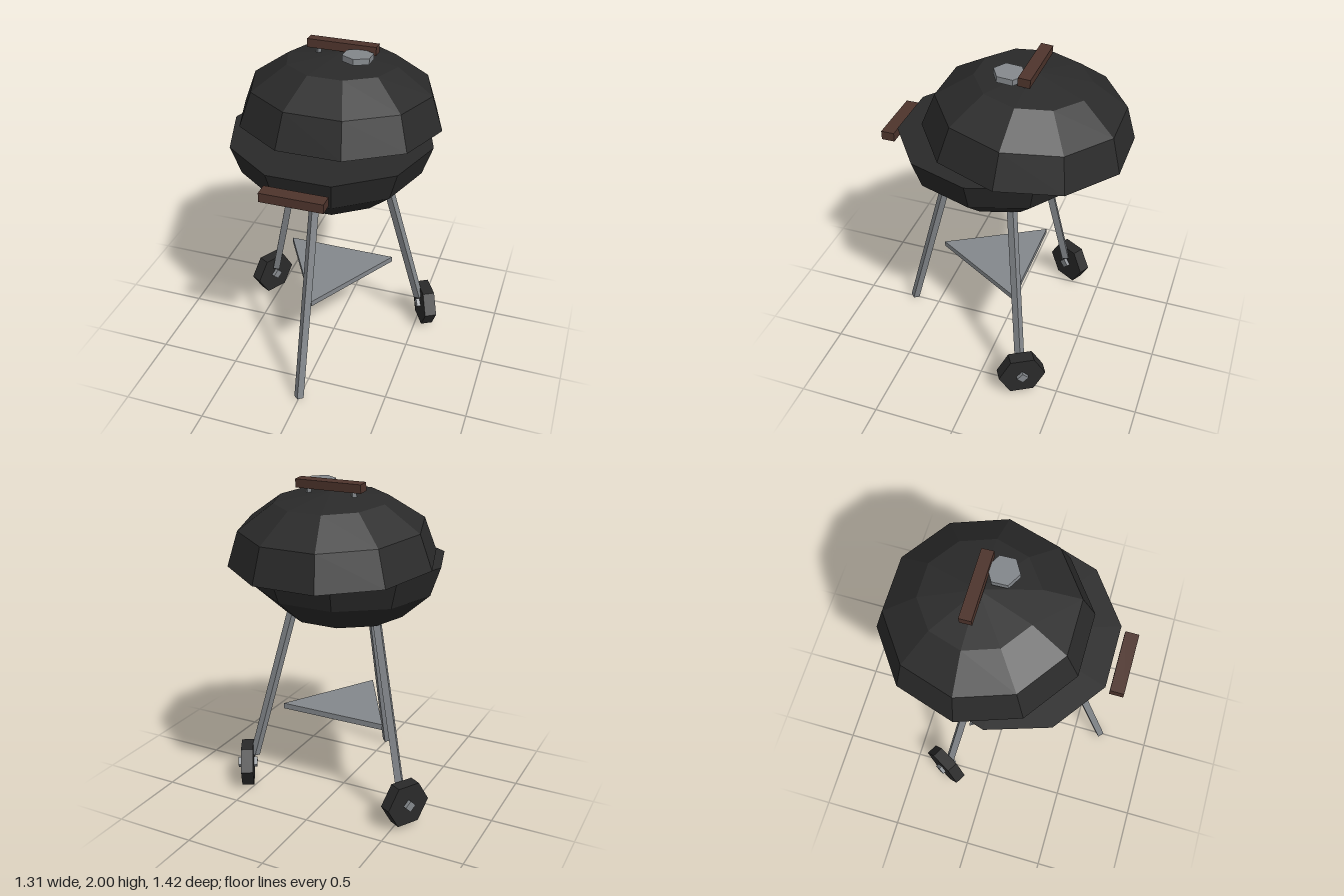
import * as THREE from 'three';

const material = (name, color) => {
  const m = new THREE.MeshStandardMaterial({ color, flatShading: true });
  m.name = name;
  return m;
};

export function createModel() {
  const enamel = material('black enamel', 0x2a2a2a);
  const steel = material('steel', 0x84888c);
  const wood = material('brown wood', 0x4e342c);
  const ash = material('ash brown', 0x66574f);
  const model = new THREE.Group();
  model.name = 'kettleGrill';

  const add = (parent, name, geometry, mat, x = 0, y = 0, z = 0) => {
    const mesh = new THREE.Mesh(geometry, mat);
    mesh.name = name;
    mesh.position.set(x, y, z);
    parent.add(mesh);
    return mesh;
  };
  // Ten-sided shell with a flat side at the front; profile runs bottom to top
  const shell = (profile) => new THREE.LatheGeometry(
    profile.map(([r, y]) => new THREE.Vector2(r, y)), 10, Math.PI / 10);
  const prism = (r, h, sides) => new THREE.CylinderGeometry(r, r, h, sides);

  // Base: bowl, shelf and legs share one vertical axis
  const base = new THREE.Group();
  base.name = 'base';
  base.position.z = 0.035;
  model.add(base);
  add(base, 'bowl', shell([[0.368, 1.19], [0.54, 1.345], [0.6, 1.52], [0, 1.52]]), enamel);
  add(base, 'bowlBottom', shell([[0, 1.14], [0.368, 1.19]]), ash);
  add(base, 'shelf', prism(0.393, 0.035, 3), steel, 0, 0.547, 0);
  add(base, 'frontHandle', new THREE.BoxGeometry(0.365, 0.055, 0.08), wood, 0, 1.447, 0.64);

  // Three splayed legs; the rear two end at wheels
  const slope = (0.64 - 0.325) / (1.19 - 0.01);
  for (let i = 0; i < 3; i++) {
    const arm = new THREE.Group();
    arm.name = ['frontLeg', 'leftRearLeg', 'rightRearLeg'][i];
    arm.rotation.y = i * Math.PI * 2 / 3;
    base.add(arm);
    const top = 1.2, bottom = i === 0 ? 0.008 : 0.215;
    const mid = (top + bottom) / 2;
    const leg = add(arm, 'leg', prism(0.03, (top - bottom) * Math.hypot(1, slope), 4), steel,
      0, mid, 0.325 + (1.19 - mid) * slope);
    leg.rotation.x = -Math.atan(slope);
    if (i > 0) {
      // Wheel axis points outward, with flats at top and bottom
      add(arm, 'wheel', prism(0.145, 0.075, 6).rotateY(Math.PI / 2).rotateX(Math.PI / 2),
        enamel, 0, 0.155, 0.633);
      add(arm, 'hub', prism(0.036, 0.12, 4).rotateX(Math.PI / 2), steel, 0, 0.155, 0.633);
    }
  }

  // Lid: set back and tipped open towards the front
  const lid = new THREE.Group();
  lid.name = 'lid';
  lid.position.set(0, 1.545, -0.13);
  lid.rotation.x = -0.068;
  model.add(lid);
  add(lid, 'lidShell', shell([[0, 0], [0.61, 0], [0.54, 0.2025], [0.33, 0.348], [0, 0.395]]), enamel);
  add(lid, 'lidHandle', new THREE.BoxGeometry(0.41, 0.05, 0.07), wood, 0, 0.43, -0.005);
  for (const side of [-1, 1]) {
    add(lid, 'handlePost', prism(0.017, 0.06, 4), steel, side * 0.143, 0.385, 0);
  }
  add(lid, 'vent', prism(0.091, 0.035, 6), steel, 0.122, 0.412, 0.103);

  return model;
}
